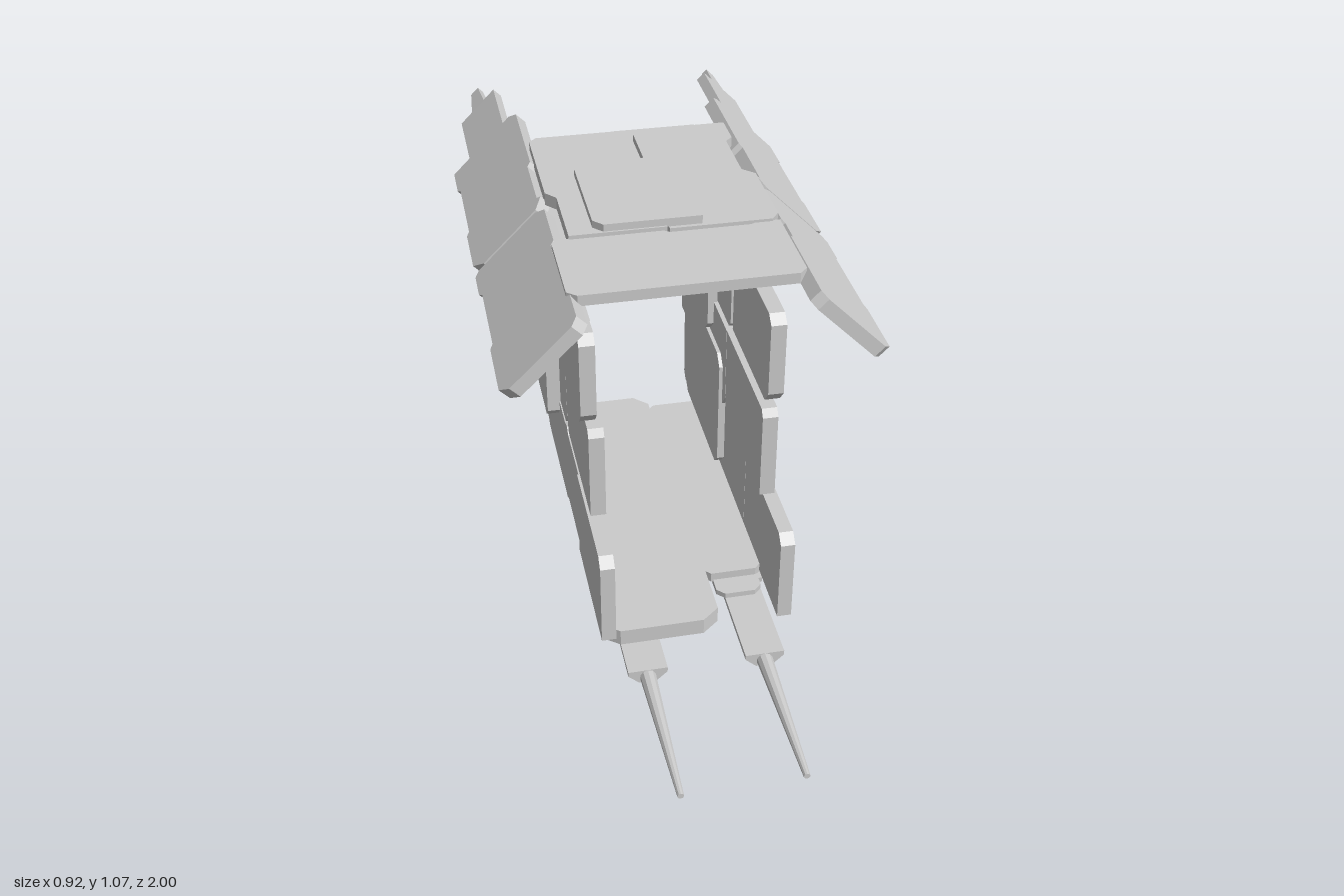
import * as THREE from 'three';

const mat = new THREE.MeshStandardMaterial({ color: 0xcccccc, flatShading: true });

function add(parent, name, geo) {
  const m = new THREE.Mesh(geo, mat);
  m.name = name;
  parent.add(m);
  return m;
}

function extrude(pts, depth) {
  const shape = new THREE.Shape(pts.map(([a, b]) => new THREE.Vector2(a, b)));
  return new THREE.ExtrudeGeometry(shape, { depth, bevelEnabled: false });
}

// Rectangle outline with cut corners: order (a0,b0) (a1,b0) (a1,b1) (a0,b1)
function cut(a0, a1, b0, b1, c = [0.02, 0.02, 0.02, 0.02]) {
  return [
    [a0 + c[0], b0], [a1 - c[1], b0], [a1, b0 + c[1]], [a1, b1 - c[2]],
    [a1 - c[2], b1], [a0 + c[3], b1], [a0, b1 - c[3]], [a0, b0 + c[0]],
  ].filter((p, i, l) => {
    const q = l[(i + 7) % 8];
    return Math.hypot(p[0] - q[0], p[1] - q[1]) > 1e-5;
  });
}

// Upright plate, outline in (z, y), between x0 and x1
function wall(parent, name, x0, x1, pts) {
  const g = extrude(pts.map(([z, y]) => [-z, y]), x1 - x0);
  g.rotateY(Math.PI / 2).translate(x0, 0, 0);
  return add(parent, name, g);
}

// Lying plate, outline in (x, z), between y0 and y1
function slab(parent, name, y0, y1, pts) {
  const g = extrude(pts.map(([x, z]) => [x, -z]), y1 - y0);
  g.rotateX(-Math.PI / 2).translate(0, y0, 0);
  return add(parent, name, g);
}

// Four-sided block tapering along z
function taperBox(w0, h0, w1, h1, z0, z1) {
  const g = new THREE.BoxGeometry(1, 1, 1);
  const p = g.attributes.position;
  for (let i = 0; i < p.count; i++) {
    const far = p.getZ(i) > 0;
    p.setXYZ(i, p.getX(i) * (far ? w1 : w0), p.getY(i) * (far ? h1 : h0), far ? z1 : z0);
  }
  g.computeVertexNormals();
  return g;
}

function sideWall(s) {
  const g = new THREE.Group();
  g.name = s > 0 ? 'leftWall' : 'rightWall';
  const w = (name, a, b, pts) => wall(g, name, Math.min(s * a, s * b), Math.max(s * a, s * b), pts);
  // upper row
  w('upperFrontPlate', 0.215, 0.255, [[0.305, 0.65], [0.275, 0.615], [-0.063, 0.615], [-0.063, 0.855], [-0.08, 0.872], [0.28, 0.872], [0.305, 0.85]]);
  w('upperBackPlate', 0.21, 0.25, [
    [-0.068, 0.63], [-0.085, 0.613], [-0.33, 0.613], [-0.36, 0.64], [-0.5, 0.64], [-0.5, 0.613],
    [-0.61, 0.613], [-0.63, 0.635], [-0.63, 0.85], [-0.605, 0.872], [-0.09, 0.872], [-0.068, 0.85]]);
  // middle row
  w('middleFrontPlate', 0.2, 0.24, [[0.32, 0.35], [-0.05, 0.35], [-0.065, 0.4], [-0.065, 0.61], [0.305, 0.61], [0.32, 0.59]]);
  w('middleBackPlate', 0.2, 0.24, [
    [-0.068, 0.39], [-0.1, 0.35], [-0.42, 0.35], [-0.42, 0.365], [-0.5, 0.365], [-0.5, 0.35], [-0.635, 0.35],
    [-0.635, 0.59], [-0.615, 0.608], [-0.5, 0.608], [-0.5, 0.588], [-0.36, 0.588], [-0.34, 0.608], [-0.068, 0.608]]);
  // lower row
  w('lowerFrontPlate', 0.21, 0.247, cut(0.14, 0.5, 0.09, 0.348, [0, 0, 0.025, 0]));
  w('lowerBackPlate', 0.21, 0.243, [
    [0.138, 0.1], [-0.08, 0.1], [-0.1, 0.085], [-0.46, 0.085], [-0.48, 0.1], [-0.615, 0.09], [-0.635, 0.11],
    [-0.635, 0.348], [-0.5, 0.348], [-0.49, 0.325], [-0.42, 0.325], [-0.41, 0.348], [-0.1, 0.348],
    [-0.06, 0.36], [-0.04, 0.345], [0.138, 0.345]]);
  return g;
}

// Slanted shoulder panel with its rear barrel
function slantedPanel(s) {
  const g = new THREE.Group();
  g.name = s > 0 ? 'leftSlantedPanel' : 'rightSlantedPanel';
  const m = (pts) => pts.map(([u, z]) => [s * u, z]);
  slab(g, 'slantedFrontPlate', -0.035, 0, m([
    [0, 0.47], [0.02, 0.49], [0.225, 0.49], [0.255, 0.46], [0.255, 0.29], [0.245, 0.275], [0.245, 0.05],
    [0.255, 0.035], [0.255, -0.05], [0.24, -0.066], [0.03, -0.066], [0, -0.04], [0, 0.12], [0.012, 0.13], [0.012, 0.2], [0, 0.21]]));
  slab(g, 'slantedBackPlate', -0.035, 0, m([
    [0, -0.11], [0.012, -0.12], [0.012, -0.3], [0, -0.31], [0, -0.61], [0.025, -0.637], [0.255, -0.637],
    [0.255, -0.53], [0.245, -0.52], [0.245, -0.28], [0.255, -0.27], [0.255, -0.11], [0.22, -0.075], [0.025, -0.075]]));
  const block = add(g, 'rearBlock', new THREE.BoxGeometry(0.14, 0.03, 0.25));
  block.position.set(s * 0.122, -0.018, -0.755);
  const tip = add(g, 'rearBarrel', taperBox(0.03, 0.02, 0.055, 0.025, -1, -0.87));
  tip.position.set(s * 0.122, -0.018, 0);
  g.position.set(s * 0.28, 1.04, 0);
  g.rotation.z = -s * Math.PI / 4;
  return g;
}

// Underslung gun: tray, keel and tapering barrel
function gun(s) {
  const g = new THREE.Group();
  g.name = s > 0 ? 'leftGun' : 'rightGun';
  const along = (name, pts, z0, z1) => add(g, name, extrude(pts, z1 - z0).translate(0, 0, z0));
  along('gunTray', [[-0.065, 0.075], [-0.065, 0.062], [-0.03, 0.045], [0.03, 0.045], [0.065, 0.062], [0.065, 0.075]], -0.07, 0.33);
  along('gunBody', [[-0.05, 0.075], [-0.05, 0.062], [-0.022, 0.036], [0.022, 0.036], [0.05, 0.062], [0.05, 0.075]], -0.07, 0.61);
  along('gunKeel', [[-0.022, 0.045], [-0.022, 0.027], [-0.013, 0.002], [0.013, 0.002], [0.022, 0.027], [0.022, 0.045]], -0.07, 0.33);
  const barrel = add(g, 'gunBarrel', new THREE.CylinderGeometry(0.008, 0.021, 0.4, 10));
  barrel.rotation.x = Math.PI / 2;
  barrel.position.set(0, 0.054, 0.8);
  g.position.x = s * 0.15;
  return g;
}

export function createModel() {
  const model = new THREE.Group();
  model.name = 'armouredFrame';
  for (const s of [1, -1]) model.add(sideWall(s), slantedPanel(s), gun(s));

  // overlay panels, left wall
  wall(model, 'leftOuterPanel', 0.24, 0.258, [
    [0.21, 0.5], [0.185, 0.478], [-0.005, 0.49], [-0.025, 0.51], [-0.03, 0.64], [-0.015, 0.668], [0.19, 0.668], [0.21, 0.65]]);
  wall(model, 'leftInnerPanel', 0.183, 0.21, cut(-0.5, -0.22, 0.51, 0.78, [0.03, 0.03, 0.03, 0.03]));
  wall(model, 'leftInnerLowerPanel', 0.19, 0.21, cut(-0.52, -0.1, 0.13, 0.5, [0.03, 0.03, 0.03, 0.03]));
  // overlay panels, right wall
  wall(model, 'rightOuterPanel', -0.277, -0.24, cut(-0.52, -0.2, 0.29, 0.625, [0.03, 0.03, 0.03, 0.03]));
  wall(model, 'rightInnerPanel', -0.21, -0.19, cut(-0.2, 0.1, 0.435, 0.772, [0.03, 0.03, 0.03, 0.03]));
  wall(model, 'rightInnerLowerPanel', -0.228, -0.204, cut(-0.675, -0.43, 0.18, 0.43, [0, 0.03, 0.03, 0.02]));

  // roof
  slab(model, 'roofFrontPlate', 1.015, 1.043, [
    [-0.288, 0.14], [-0.275, 0.125], [-0.02, 0.125], [0, 0.14], [0.2, 0.14], [0.22, 0.13], [0.275, 0.13],
    [0.275, 0.37], [0.255, 0.39], [-0.265, 0.39], [-0.288, 0.37]]);
  slab(model, 'roofRightPlate', 1.02, 1.053, [
    [-0.27, -0.4], [-0.25, -0.42], [-0.02, -0.42], [-0.005, -0.4], [-0.005, -0.24], [0.015, -0.22], [0.015, -0.03],
    [-0.005, -0.01], [-0.005, 0.13], [-0.245, 0.13], [-0.245, -0.07], [-0.27, -0.1]]);
  slab(model, 'roofLeftPlate', 1.018, 1.05, [
    [0.01, -0.4], [0.03, -0.425], [0.265, -0.425], [0.265, -0.33], [0.245, -0.31], [0.245, -0.14], [0.275, -0.11],
    [0.275, 0.11], [0.255, 0.135], [0, 0.135], [0, 0], [0.02, -0.02], [0.02, -0.24], [0.01, -0.25]]);
  slab(model, 'roofUnderPlate', 1.01, 1.03, cut(-0.05, 0.21, -0.47, -0.1));
  slab(model, 'roofHatch', 1.05, 1.072, [
    [-0.183, -0.18], [-0.155, -0.21], [0.04, -0.21], [0.065, -0.185], [0.065, -0.02], [0.083, 0], [0.083, 0.125], [-0.16, 0.125], [-0.183, 0.1]]);

  // floor
  slab(model, 'floorMainPlate', 0.075, 0.12, [
    [-0.235, -0.47], [-0.2, -0.5], [0.02, -0.5], [0.06, -0.46], [0.06, 0.47], [0.015, 0.507], [-0.2, 0.507], [-0.235, 0.48]]);
  slab(model, 'floorSidePlate', 0.085, 0.112, cut(0.055, 0.215, -0.46, 0.33));
  slab(model, 'floorSideLowerPlate', 0.075, 0.09, cut(0.08, 0.2, -0.3, 0.39));
  return model;
}
